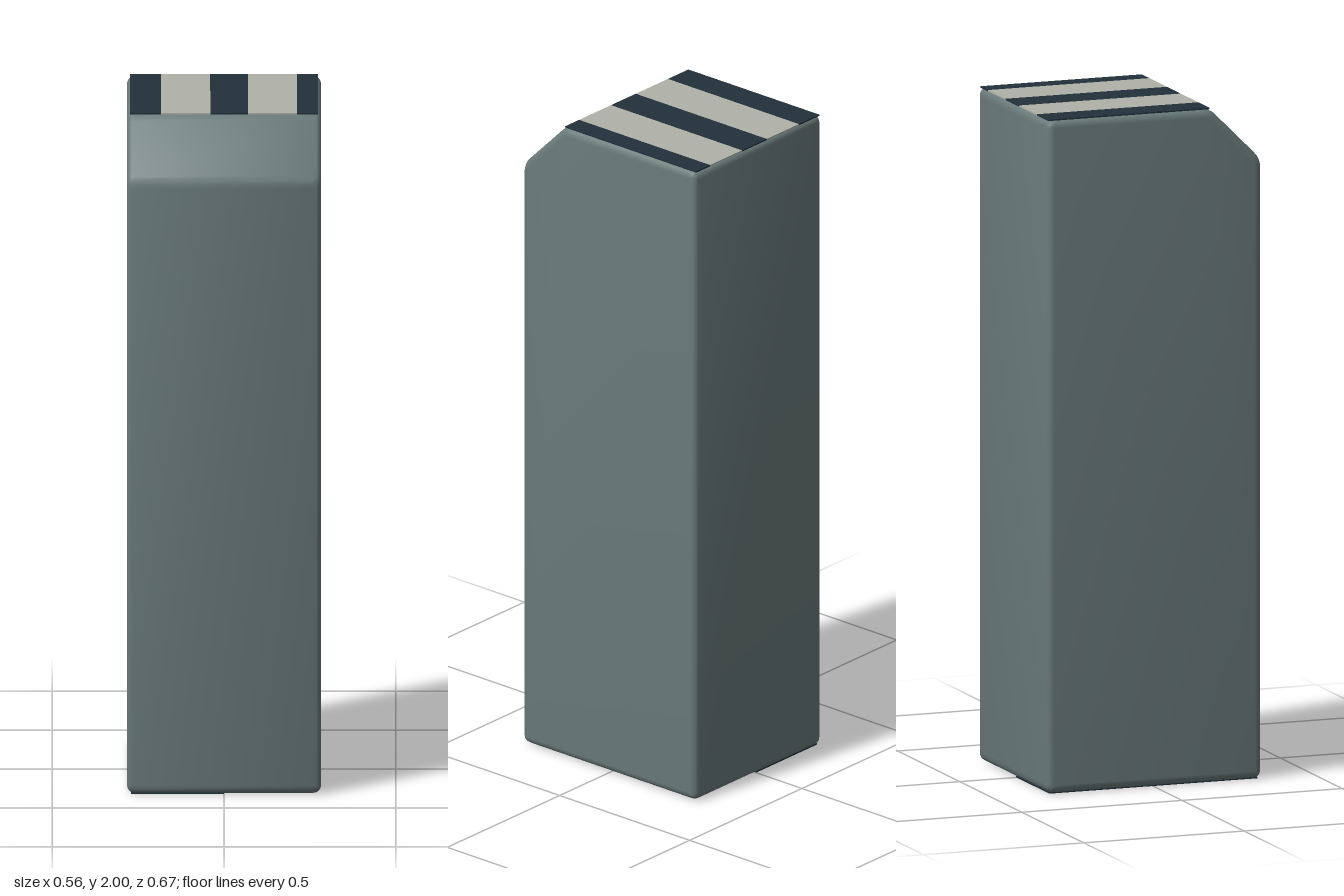
import * as THREE from 'three';
import { toCreasedNormals } from 'three/addons/utils/BufferGeometryUtils.js';

const mat = (name, color) => {
  const m = new THREE.MeshStandardMaterial({ color });
  m.name = name;
  return m;
};

// closed outline whose corners are rounded by r
function roundedOutline(points, r) {
  const shape = new THREE.Shape();
  const pts = points.map(([x, y]) => new THREE.Vector2(x, y));
  pts.forEach((p, i) => {
    const prev = pts[(i + pts.length - 1) % pts.length];
    const next = pts[(i + 1) % pts.length];
    const a = prev.clone().sub(p).setLength(r).add(p);
    const b = next.clone().sub(p).setLength(r).add(p);
    if (i === 0) shape.moveTo(a.x, a.y);
    else shape.lineTo(a.x, a.y);
    shape.quadraticCurveTo(p.x, p.y, b.x, b.y);
  });
  shape.closePath();
  return shape;
}

export function createModel() {
  const group = new THREE.Group();
  group.name = 'stripedBlock';
  const slate = mat('slate grey', 0x6a7a7a);
  const navy = mat('dark navy', 0x22303a);
  const pale = mat('pale grey', 0xb0b2aa);

  // tall body: side outline with a sloped top front edge, extruded across x
  const W = 0.565, D = 0.335, B = 0.022, H = 1.998;
  const outline = roundedOutline(
    [[-D, 0.002], [D, 0.002], [D, 1.838], [0.175, H], [-D, H]], 0.026);
  const geo = new THREE.ExtrudeGeometry(outline, {
    depth: W - 2 * B, bevelEnabled: true, bevelThickness: B, bevelSize: B,
    bevelOffset: -B, bevelSegments: 4, curveSegments: 4,
  });
  geo.translate(0, 0, -(W / 2 - B));
  geo.rotateY(-Math.PI / 2);
  const body = new THREE.Mesh(toCreasedNormals(geo, 0.6), slate);
  body.name = 'body';
  group.add(body);

  // thin rectangular plate between two x and two z limits
  const plate = (name, material, x0, x1, z0, z1, y, t = 0.004) => {
    const m = new THREE.Mesh(new THREE.BoxGeometry(x1 - x0, t, z1 - z0), material);
    m.position.set((x0 + x1) / 2, y, (z0 + z1) / 2);
    m.name = name;
    group.add(m);
  };

  // stripes on the top
  const edges = [-0.274, -0.183, -0.04, 0.07, 0.212, 0.274];
  for (let i = 0; i < 5; i++) {
    plate('topStripe', i % 2 ? pale : navy, edges[i], edges[i + 1], -0.33, 0.174, 1.998);
  }

  // dark underside panel with pale patches
  plate('bottomPanel', navy, -0.27, 0, -0.325, 0.325, 0.003);
  for (const [z0, z1] of [[-0.31, -0.2], [-0.13, 0.05], [0.13, 0.31]]) {
    plate('bottomPatch', pale, -0.26, -0.09, z0, z1, 0.002);
  }
  return group;
}
